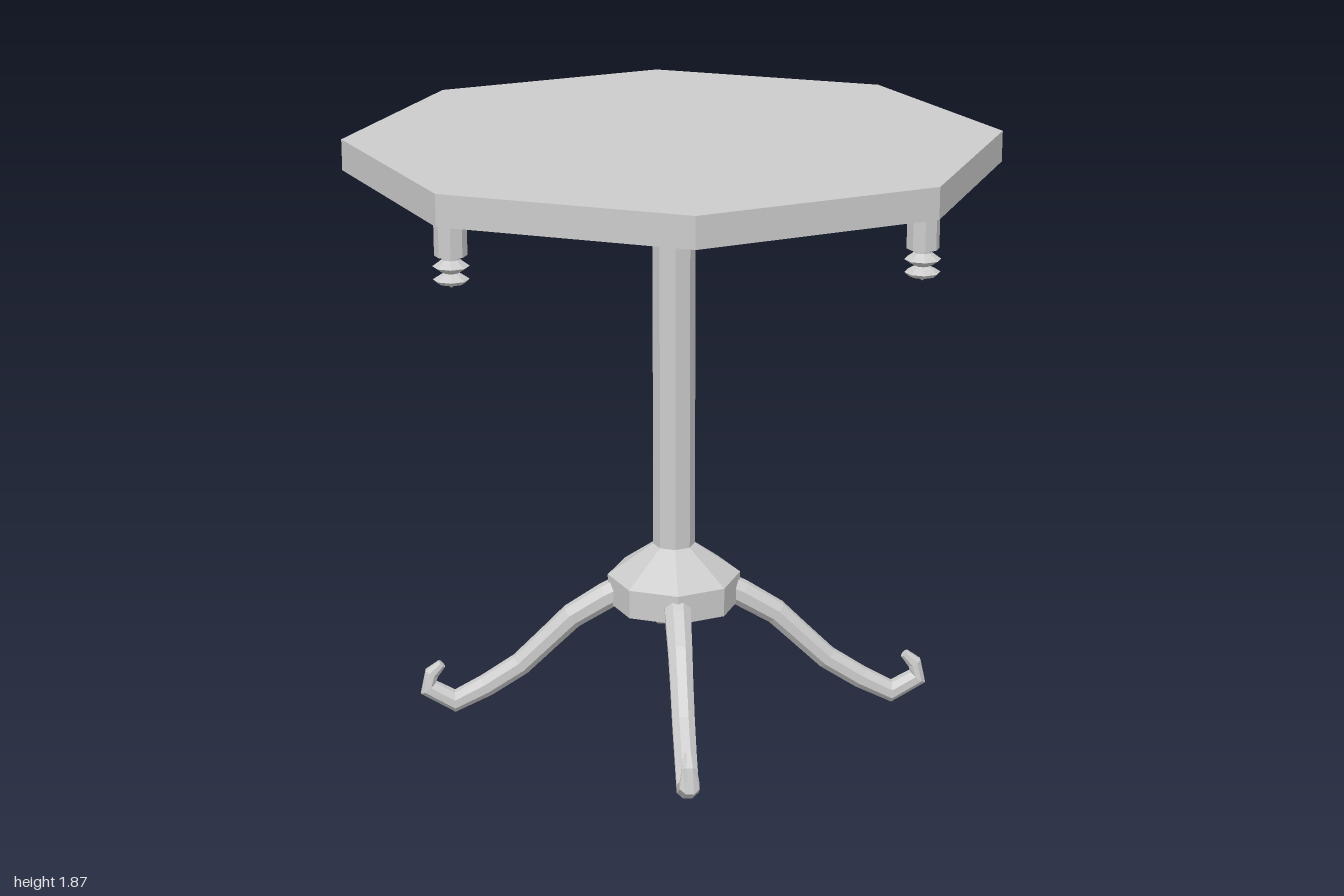
import * as THREE from 'three';

const material = new THREE.MeshStandardMaterial({ color: 0xcccccc, flatShading: true });

// Eight-sided turned part; profile is [radius, y] from bottom to top
function turned(name, profile) {
  const points = profile.map(([r, y]) => new THREE.Vector2(r, y));
  const mesh = new THREE.Mesh(new THREE.LatheGeometry(points, 8), material);
  mesh.name = name;
  return mesh;
}

// Eight-sided tube swept along a path in the xy plane; stations are [x, y, radius]
function sweptLeg(stations, sides = 8) {
  const positions = [], index = [];
  const n = stations.length;
  stations.forEach(([x, y, r], i) => {
    const [ax, ay] = stations[Math.max(i - 1, 0)];
    const [bx, by] = stations[Math.min(i + 1, n - 1)];
    const len = Math.hypot(bx - ax, by - ay);
    const nx = -(by - ay) / len, ny = (bx - ax) / len;
    for (let j = 0; j < sides; j++) {
      const a = ((j + 0.5) / sides) * Math.PI * 2;
      const c = Math.cos(a) * r;
      positions.push(x + nx * c, y + ny * c, Math.sin(a) * r);
    }
  });
  for (let i = 0; i < n - 1; i++) {
    for (let j = 0; j < sides; j++) {
      const k = (j + 1) % sides;
      const a = i * sides + j, b = i * sides + k;
      index.push(a, b, a + sides, b, b + sides, a + sides);
    }
  }
  // End caps
  const last = (n - 1) * sides;
  for (let j = 1; j < sides - 1; j++) {
    index.push(0, j + 1, j, last, last + j, last + j + 1);
  }
  const geometry = new THREE.BufferGeometry();
  geometry.setAttribute('position', new THREE.Float32BufferAttribute(positions, 3));
  geometry.setIndex(index);
  geometry.computeVertexNormals();
  return geometry;
}

export function createModel() {
  const table = new THREE.Group();
  table.name = 'pedestalTable';

  // Octagonal top with corners on the axes
  const top = new THREE.Mesh(new THREE.CylinderGeometry(1, 1, 0.095, 8), material);
  top.name = 'tableTop';
  top.position.y = 1.8225;
  table.add(top);

  // Pedestal: hub, column and flared collar
  table.add(turned('hub', [[0, 0.365], [0.21, 0.365], [0.21, 0.457], [0.066, 0.558]]));
  table.add(turned('column', [[0.066, 0.558], [0.066, 1.66]]));
  table.add(turned('collar', [[0.066, 1.66], [0.183, 1.755], [0.6, 1.775]]));

  // Turned drops beneath every second corner
  const dropProfile = [
    [0, 1.588], [0.016, 1.6], [0.04, 1.603], [0.052, 1.614], [0.036, 1.624], [0.02, 1.632],
    [0.036, 1.64], [0.053, 1.652], [0.036, 1.664], [0.026, 1.672], [0.026, 1.683],
    [0.047, 1.683], [0.047, 1.78],
  ];
  for (let i = 0; i < 4; i++) {
    const a = (i * Math.PI) / 2;
    const drop = turned('drop', dropProfile);
    drop.position.set(Math.cos(a) * 0.945, 0, Math.sin(a) * 0.945);
    table.add(drop);
  }

  // Four curved legs on the diagonals, ending in upturned toes
  const legGeometry = sweptLeg([
    [0.13, 0.425, 0.045], [0.215, 0.385, 0.043], [0.325, 0.318, 0.04], [0.4, 0.245, 0.038],
    [0.49, 0.158, 0.037], [0.6, 0.087, 0.036], [0.7, 0.036, 0.036],
    [0.785, 0.085, 0.032], [0.773, 0.133, 0.024], [0.74, 0.165, 0.015],
  ]);
  for (let i = 0; i < 4; i++) {
    const leg = new THREE.Mesh(legGeometry, material);
    leg.name = 'leg';
    leg.rotation.y = Math.PI / 4 + (i * Math.PI) / 2;
    table.add(leg);
  }

  return table;
}
